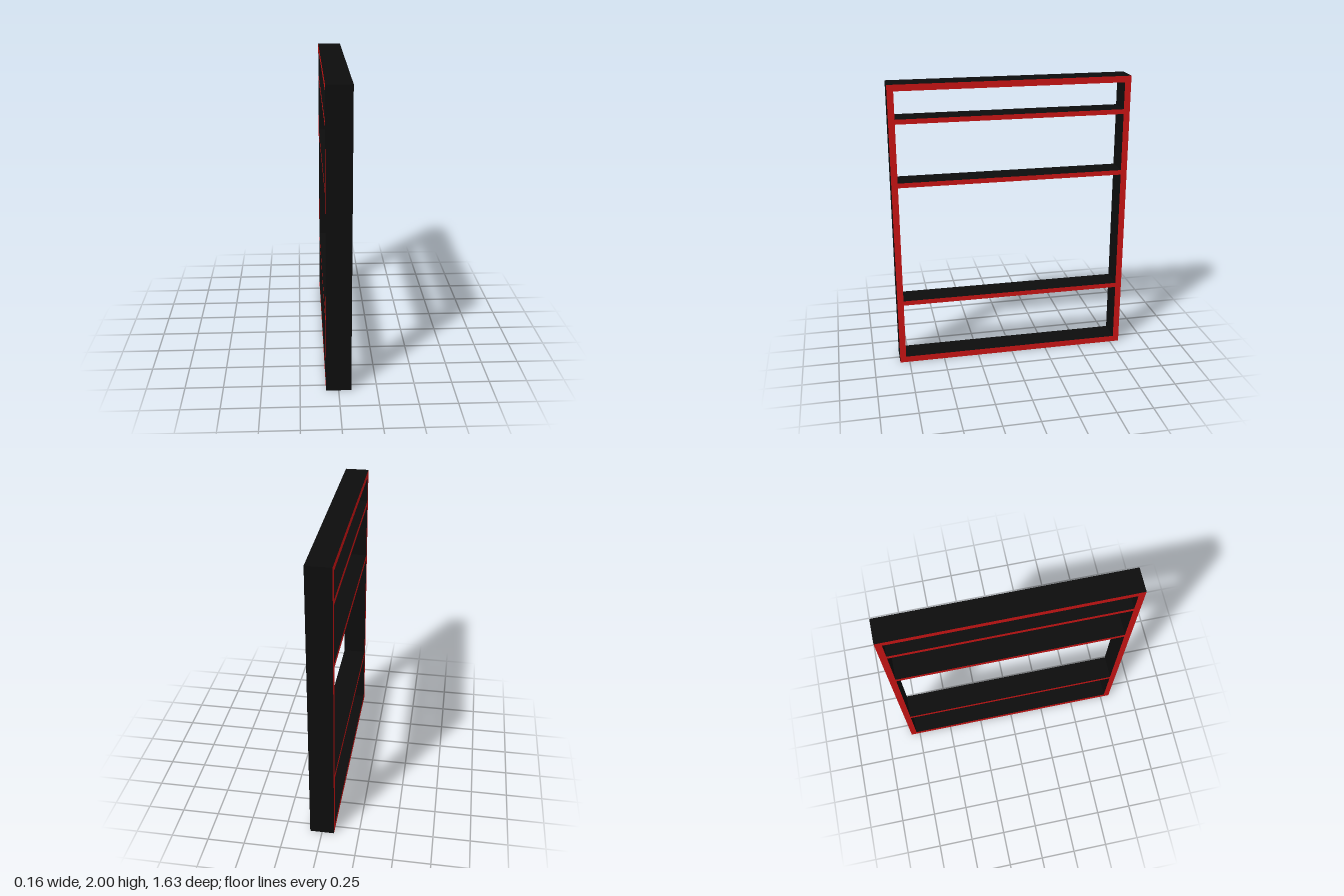
import * as THREE from 'three';

const DEPTH = 0.164, HEIGHT = 2, WIDTH = 1.634, FRAME = 0.043, SHELF = 0.033;

export function createModel() {
  const model = new THREE.Group();
  model.name = 'shelfUnit';
  const black = new THREE.MeshStandardMaterial({ color: 0x0d0d0d });
  const red = new THREE.MeshStandardMaterial({ color: 0xcc1414 });
  // Black boards with red edges on both open sides (+x and -x)
  const faces = [red, red, black, black, black, black];

  const addBoard = (name, height, length, y, z) => {
    const board = new THREE.Mesh(new THREE.BoxGeometry(DEPTH, height, length), faces);
    board.name = name;
    board.position.set(0, y, z);
    model.add(board);
  };

  // Outer frame
  const inner = WIDTH - 2 * FRAME;
  addBoard('bottomBoard', FRAME, inner, FRAME / 2, 0);
  addBoard('topBoard', FRAME, inner, HEIGHT - FRAME / 2, 0);
  for (const [name, side] of [['frontUpright', 1], ['backUpright', -1]]) {
    addBoard(name, HEIGHT, FRAME, HEIGHT / 2, side * (WIDTH - FRAME) / 2);
  }

  // Shelves
  [0.464, 1.326, 1.757].forEach((y, i) => addBoard(`shelf${i + 1}`, SHELF, inner, y, 0));

  return model;
}
